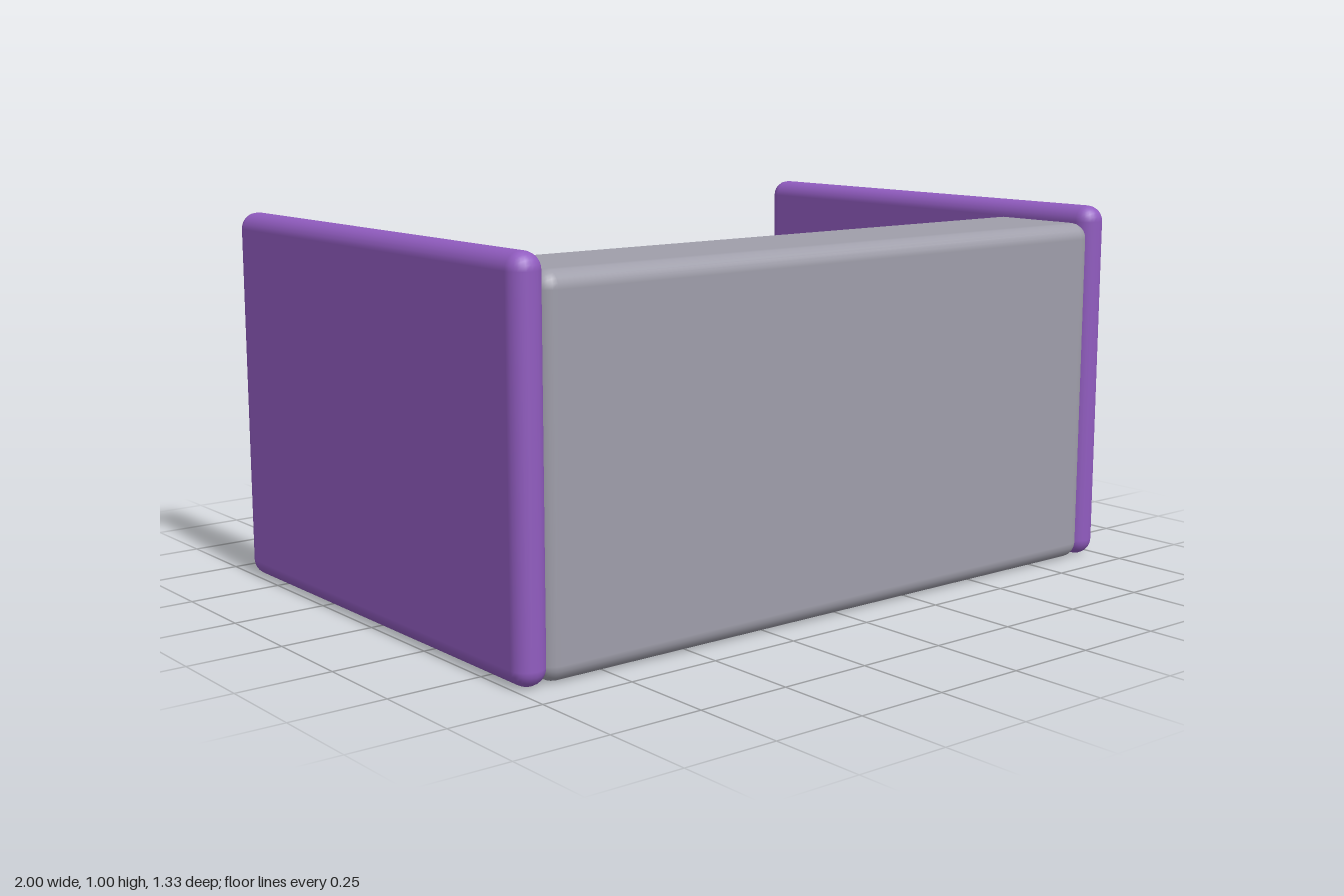
import * as THREE from 'three';
import { RoundedBoxGeometry } from 'three/addons/geometries/RoundedBoxGeometry.js';

const WIDTH = 2, HEIGHT = 1, DEPTH = 4 / 3;
const PANEL = 0.09, RADIUS = 0.045;
const STEPS = 4, TOP = 0.955, STEP_WIDTH = 1.86;

export function createModel() {
  const group = new THREE.Group();
  group.name = 'steps';
  const purple = new THREE.MeshStandardMaterial({ name: 'purple', color: 0x915cc0 });
  const grey = new THREE.MeshStandardMaterial({ name: 'grey', color: 0x9f9eaa });

  // A softly rounded block standing on the floor
  const block = (name, material, w, h, d, x, z) => {
    const mesh = new THREE.Mesh(new RoundedBoxGeometry(w, h, d, 3, RADIUS - 0.001), material);
    mesh.name = name;
    mesh.position.set(x, h / 2, z);
    group.add(mesh);
  };

  // Side panels
  block('leftPanel', purple, PANEL, HEIGHT, DEPTH, (WIDTH - PANEL) / 2, 0);
  block('rightPanel', purple, PANEL, HEIGHT, DEPTH, -(WIDTH - PANEL) / 2, 0);

  // Steps rising from the back to the front, their ends tucked into the panels
  const run = DEPTH / STEPS;
  for (let i = 0; i < STEPS; i++) {
    const height = TOP * (i + 1) / STEPS;
    block(`step${i + 1}`, grey, STEP_WIDTH, height, run, 0, -DEPTH / 2 + run * (i + 0.5));
  }
  return group;
}
